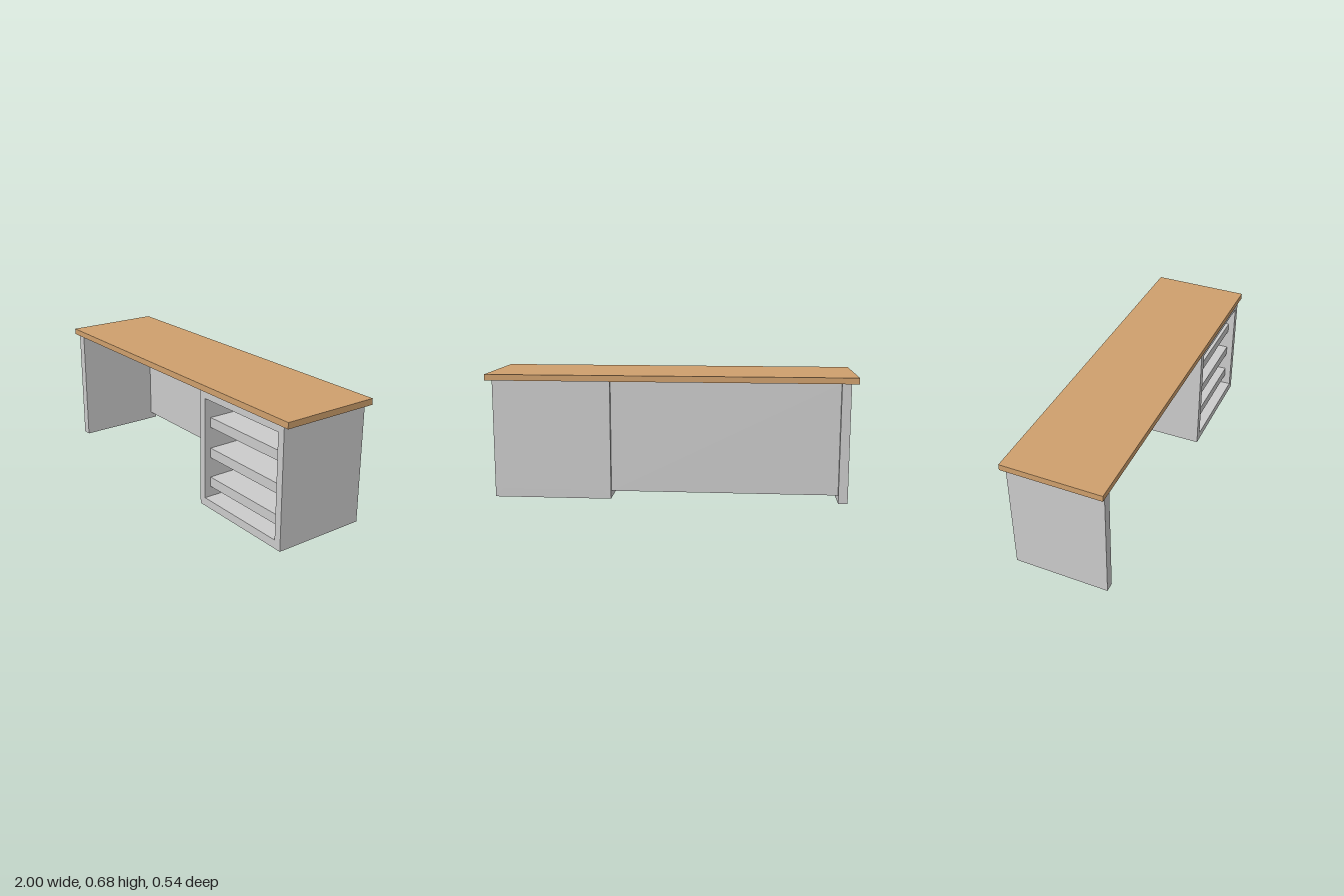
import * as THREE from 'three';

const grey = new THREE.MeshStandardMaterial({ color: 0xcccccc });
const wood = new THREE.MeshStandardMaterial({ color: 0xcfa06d });

// Box given by its lower and upper bounds on each axis
function slab(name, [x0, x1], [y0, y1], [z0, z1], material = grey) {
  const mesh = new THREE.Mesh(new THREE.BoxGeometry(x1 - x0, y1 - y0, z1 - z0), material);
  mesh.position.set((x0 + x1) / 2, (y0 + y1) / 2, (z0 + z1) / 2);
  mesh.name = name;
  return mesh;
}

function rectangle(target, x0, x1, y0, y1) {
  target.moveTo(x0, y0).lineTo(x1, y0).lineTo(x1, y1).lineTo(x0, y1).closePath();
  return target;
}

export function createModel() {
  const desk = new THREE.Group();
  desk.name = 'desk';
  const underside = 0.647, depth = 0.26, outer = 0.962;
  const inner = 0.318, backInside = -0.24;

  desk.add(slab('deskTop', [-1, 1], [underside, 0.68], [-0.271, 0.271], wood));
  desk.add(slab('sideLeg', [-outer, -0.912], [0, underside], [-depth, depth]));
  desk.add(slab('modestyPanel', [-0.912, inner], [0.04, underside], [-0.238, -0.22]));

  // Cabinet: a hollow frame closed by a back panel
  const cabinet = new THREE.Group();
  cabinet.name = 'cabinet';
  const open = { x: [0.358, 0.922], y: [0.046, 0.606] };
  const outline = rectangle(new THREE.Shape(), inner, outer, 0, underside);
  outline.holes.push(rectangle(new THREE.Path(), ...open.x, ...open.y));
  const frame = new THREE.Mesh(
    new THREE.ExtrudeGeometry(outline, { depth: 2 * depth, bevelEnabled: false }), grey);
  frame.position.z = -depth;
  frame.name = 'cabinetFrame';
  cabinet.add(frame);
  cabinet.add(slab('cabinetBack', open.x, open.y, [-depth, backInside]));

  // Shelves, set back a little from the front
  for (const y of [0.104, 0.27, 0.441]) {
    cabinet.add(slab('shelf', open.x, [y, y + 0.054], [backInside, depth - 0.035]));
  }
  desk.add(cabinet);
  return desk;
}
